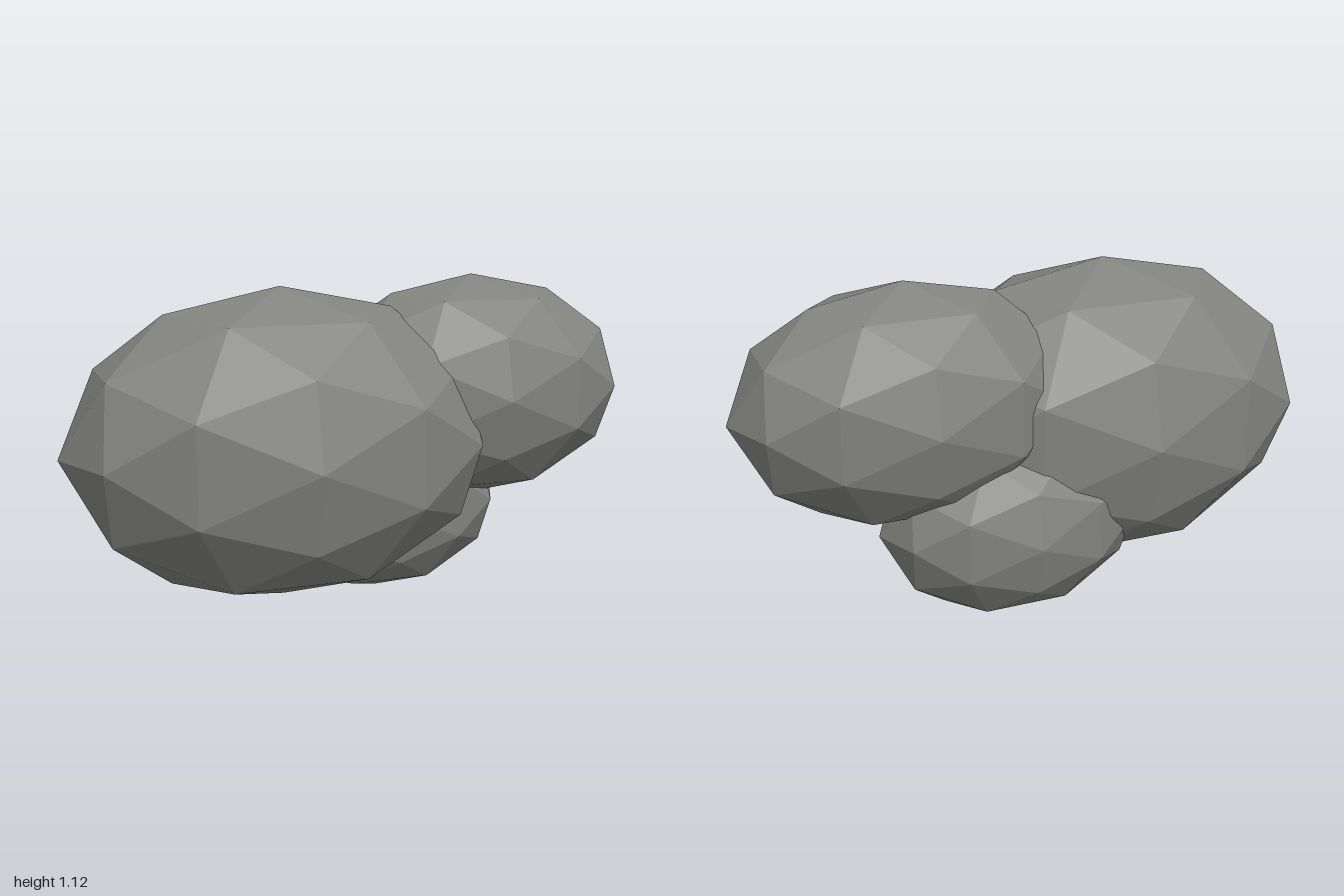
import * as THREE from 'three';

export function createModel() {
  const group = new THREE.Group();
  group.name = 'rockCluster';
  const stone = new THREE.MeshStandardMaterial({ color: 0x82837f, flatShading: true });
  stone.name = 'stone grey';

  // Each boulder is a faceted ball stretched into an ellipsoid
  const addBoulder = (name, center, radii) => {
    const geometry = new THREE.IcosahedronGeometry(1, 1).scale(...radii);
    geometry.computeVertexNormals();
    const mesh = new THREE.Mesh(geometry, stone);
    mesh.name = name;
    mesh.position.set(...center);
    group.add(mesh);
  };

  addBoulder('largeBoulder', [-0.275, 0.592, 0], [0.725, 0.52, 0.465]);
  addBoulder('upperBoulder', [0.438, 0.733, -0.09], [0.562, 0.392, 0.357]);
  addBoulder('lowerBoulder', [0.125, 0.325, -0.178], [0.446, 0.325, 0.287]);

  return group;
}
